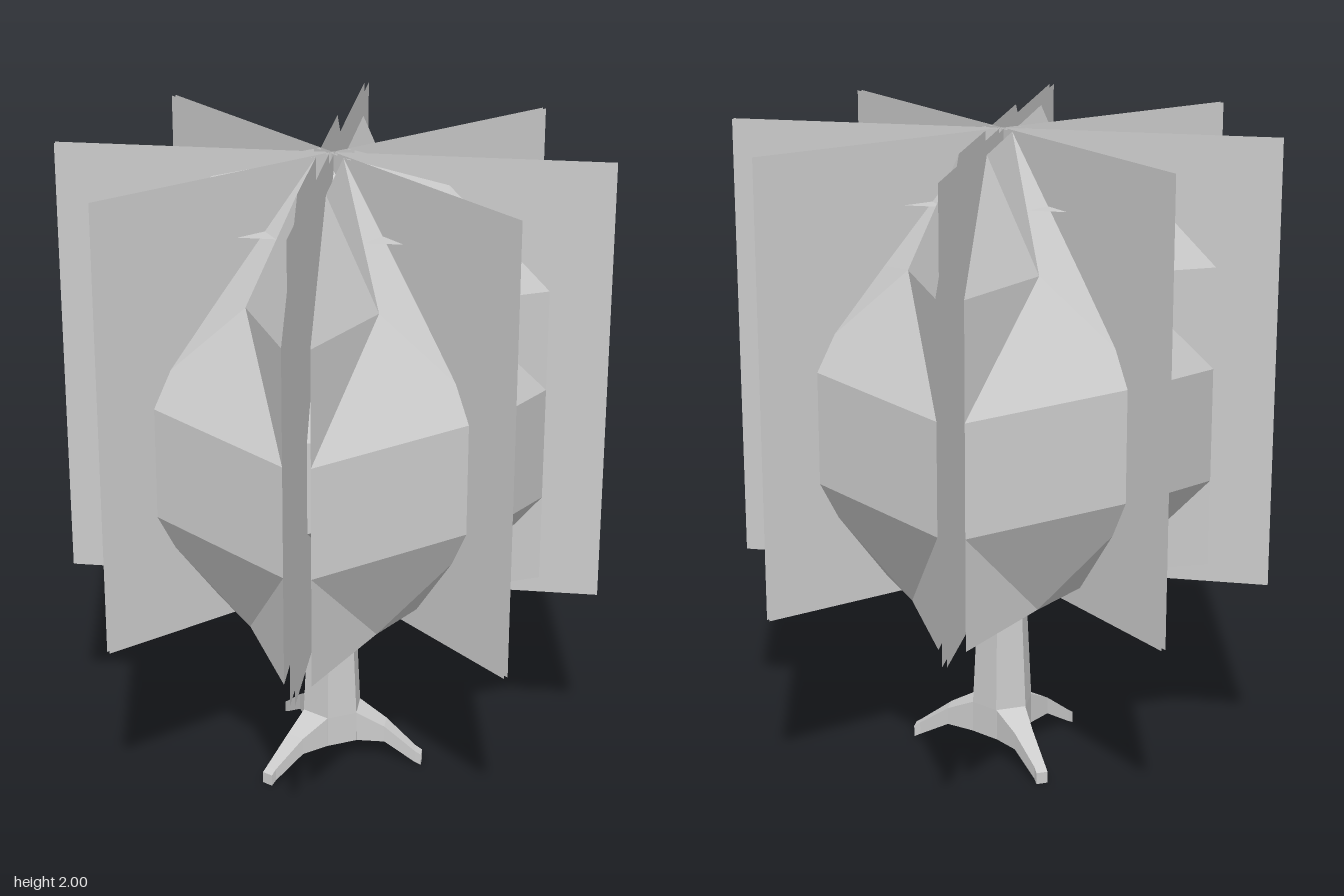
import * as THREE from 'three';

const material = new THREE.MeshStandardMaterial({ color: 0xcccccc, flatShading: true, side: THREE.DoubleSide });

// Joins closed rings of points into a faceted solid with fan caps.
// flips lists "ring,side" quads whose diagonal runs the other way.
function loft(rings, flips = []) {
  const pos = [];
  const tri = (a, b, c) => pos.push(...a, ...b, ...c);
  const n = rings[0].length;
  for (let i = 0; i < rings.length - 1; i++) {
    const lo = rings[i], hi = rings[i + 1];
    for (let j = 0; j < n; j++) {
      const k = (j + 1) % n;
      if (flips.includes(`${i},${j}`)) {
        tri(lo[j], lo[k], hi[j]);
        tri(lo[k], hi[k], hi[j]);
      } else {
        tri(lo[j], lo[k], hi[k]);
        tri(lo[j], hi[k], hi[j]);
      }
    }
  }
  const first = rings[0], last = rings[rings.length - 1];
  for (let j = 1; j < n - 1; j++) {
    tri(first[0], first[j + 1], first[j]);
    tri(last[0], last[j], last[j + 1]);
  }
  const g = new THREE.BufferGeometry();
  g.setAttribute('position', new THREE.Float32BufferAttribute(pos, 3));
  g.computeVertexNormals();
  return g;
}

// One quarter of the crown; points run axis, front ridge, two middles, side ridge.
const crownRings = [
  [[0.04, 0.66, 0.05], [0.04, 0.63, 0.73], [0.19, 0.65, 0.42], [0.38, 0.71, 0.22], [0.65, 0.69, 0.05]],
  [[0.04, 0.97, 0.05], [0.04, 0.97, 0.73], [0.52, 1.02, 0.42], [0.52, 1.02, 0.42], [0.65, 0.96, 0.05]],
  [[0.04, 1.31, 0.05], [0.04, 1.31, 0.73], [0.52, 1.36, 0.42], [0.52, 1.36, 0.42], [0.65, 1.31, 0.05]],
  [[0.04, 1.66, 0.05], [0.04, 1.66, 0.73], [0.19, 1.66, 0.42], [0.38, 1.62, 0.19], [0.65, 1.62, 0.05]],
  [[0.04, 2.0, 0.05], [0.04, 2.0, 0.42], [0.04, 2.0, 0.05], [0.04, 2.0, 0.05], [0.35, 1.93, 0.05]],
];

export function createModel() {
  const model = new THREE.Group();
  const add = (geometry, name, parent = model) => {
    const mesh = new THREE.Mesh(geometry, material);
    mesh.name = name;
    parent.add(mesh);
    return mesh;
  };

  // Trunk: tapered hexagon
  const trunk = add(new THREE.CylinderGeometry(0.068, 0.098, 0.6, 6), 'trunk');
  trunk.position.y = 0.47;
  const foot = add(new THREE.CylinderGeometry(0.098, 0.098, 0.1, 6), 'trunkFoot');
  foot.position.y = 0.12;

  // Three spreading roots: distance, underside, top, half width, share of the sideways bend
  const rootSections = [
    [0.06, 0.07, 0.17, 0.048, 0],
    [0.085, 0.07, 0.17, 0.048, 0],
    [0.175, 0.07, 0.125, 0.03, 0.4],
    [0.275, 0.01, 0.05, 0.018, 1],
    [0.295, 0, 0.037, 0.018, 1],
  ];
  [0.04, -0.03, 0.03].forEach((bend, i) => {
    const root = add(loft(rootSections.map(([r, lo, hi, w, s]) => {
      const z = bend * s;
      return [[r, lo, z + w], [r, lo, z - w], [r, hi, z - w], [r, hi, z + w]];
    })), 'root');
    root.rotation.y = i * Math.PI * 2 / 3;
  });

  // Crown: inner core and four mirrored quarters with narrow gaps between
  const crown = new THREE.Group();
  crown.name = 'crown';
  model.add(crown);
  const profile = [[0, 0.74], [0.1, 0.74], [0.58, 1.04], [0.58, 1.32], [0.42, 1.55], [0, 1.97]];
  const core = add(new THREE.LatheGeometry(profile.map(p => new THREE.Vector2(...p)), 8), 'crownCore', crown);
  core.scale.x = 1.08;
  const quarter = loft(crownRings, ['0,1', '1,1', '2,3', '3,1']);
  for (const sx of [1, -1]) {
    for (const sz of [1, -1]) add(quarter, 'crownQuarter', crown).scale.set(sx, 1, sz);
  }

  // Leaf sheets: four crossing pairs of upright planes
  const sheets = new THREE.Group();
  sheets.name = 'leafSheets';
  model.add(sheets);
  for (let i = 0; i < 4; i++) {
    const angle = i * Math.PI / 4;
    for (const d of [-0.007, 0.007]) {
      const sheet = add(new THREE.PlaneGeometry(1.66, 1.38), 'leafSheet', sheets);
      sheet.rotation.y = angle;
      sheet.position.set(Math.sin(angle) * d, 1.31, Math.cos(angle) * d);
    }
  }

  // Small level sheet near the top
  const level = add(new THREE.PlaneGeometry(0.5, 0.5), 'levelLeafSheet', sheets);
  level.rotation.x = -Math.PI / 2;
  level.position.y = 1.81;
  return model;
}
